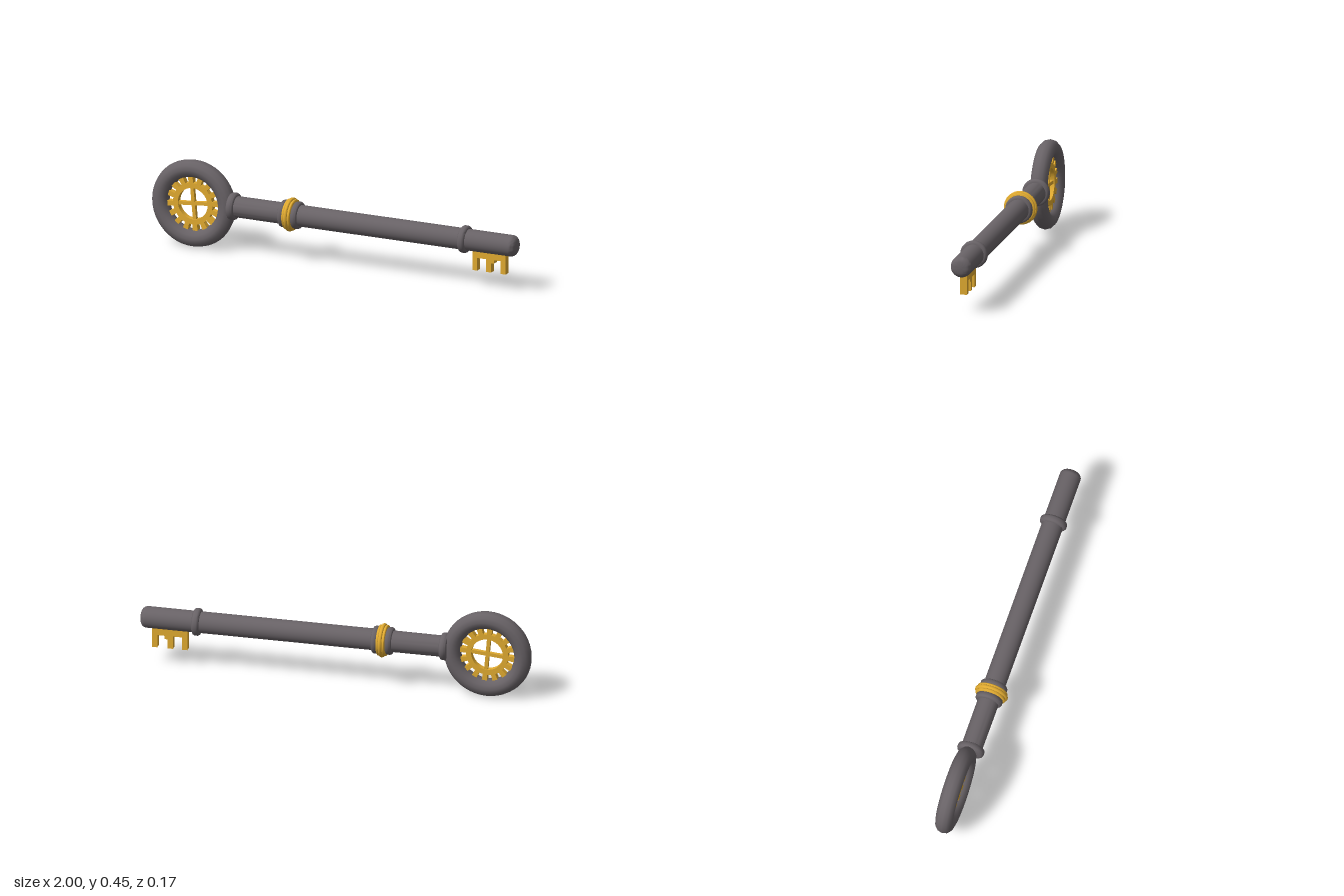
import * as THREE from 'three';
import { toCreasedNormals } from 'three/addons/utils/BufferGeometryUtils.js';

const IRON = new THREE.MeshStandardMaterial({ color: 0x686266 });
const GOLD = new THREE.MeshStandardMaterial({ color: 0xe0aa30 });

const SHAFT_Y = 0.242, SHAFT_Z = 0.002;
const RING = new THREE.Vector3(-0.775, 0.228, -0.002);

function add(parent, name, geometry, material, x = 0, y = 0, z = 0) {
  const mesh = new THREE.Mesh(geometry, material);
  mesh.name = name;
  mesh.position.set(x, y, z);
  parent.add(mesh);
  return mesh;
}

// Solid turned about the shaft axis; points are [radius, x]
function turned(points) {
  const profile = points.map(([r, x]) => new THREE.Vector2(r, x));
  return toCreasedNormals(new THREE.LatheGeometry(profile, 32).rotateZ(-Math.PI / 2), 0.7);
}

// Rounded collar centred on x
function collar(x, radius, width) {
  const h = width / 2, b = Math.min(h * 0.6, 0.012);
  return turned([[0.04, x - h], [radius - b, x - h], [radius - b * 0.3, x - h + b * 0.4], [radius, x - h + b],
    [radius, x + h - b], [radius - b * 0.3, x + h - b * 0.4], [radius - b, x + h], [0.04, x + h]]);
}

// Extruded plate centred on z = 0
function plate(shape, depth) {
  return new THREE.ExtrudeGeometry(shape, { depth, bevelEnabled: false, curveSegments: 32 }).translate(0, 0, -depth / 2);
}

function buildGear() {
  const gear = new THREE.Group();
  gear.name = 'bowGear';
  const teeth = 16, step = Math.PI * 2 / teeth, outline = [];
  for (let i = 0; i < teeth; i++) {
    for (const [f, r] of [[-0.27, 0.108], [-0.25, 0.14], [0.25, 0.14], [0.27, 0.108]]) {
      const a = (i + f) * step + 0.1;
      outline.push(new THREE.Vector2(r * Math.cos(a), r * Math.sin(a)));
    }
  }
  const shape = new THREE.Shape(outline);
  shape.holes.push(new THREE.Path().absarc(0, 0, 0.081, 0, Math.PI * 2, true));
  add(gear, 'gearRim', plate(shape, 0.03), GOLD);
  // Crossed spokes
  for (let i = 0; i < 2; i++) {
    add(gear, 'gearSpoke', new THREE.BoxGeometry(0.175, 0.018, 0.02), GOLD).rotation.z = 0.09 + i * Math.PI / 2;
  }
  gear.position.copy(RING);
  return gear;
}

export function createModel() {
  const key = new THREE.Group();
  key.name = 'key';

  // Bow: ring handle with a gear inside
  add(key, 'bowRing', new THREE.TorusGeometry(0.18, 0.0445, 12, 48), IRON, RING.x, RING.y, RING.z);
  key.add(buildGear());

  // Shaft with a rounded tip
  const shaft = new THREE.Group();
  shaft.name = 'shaftAssembly';
  shaft.position.set(0, SHAFT_Y, SHAFT_Z);
  key.add(shaft);
  const tip = [];
  for (let i = 0; i <= 6; i++) {
    const a = i / 6 * Math.PI / 2;
    tip.push([0.02 + 0.034 * Math.cos(a), 0.966 + 0.03 * Math.sin(a)]);
  }
  add(shaft, 'shaft', turned([[0, -0.57], [0.053, -0.57], [0.054, -0.2], ...tip, [0, 1]]), IRON);

  // Collars along the shaft
  for (const [x, r, w] of [[-0.555, 0.069, 0.038], [-0.275, 0.069, 0.034], [-0.205, 0.069, 0.034], [0.71, 0.069, 0.038]]) {
    add(shaft, 'collar', collar(x, r, w), IRON);
  }
  // Gold band of three rings
  for (const [x, r, w] of [[-0.255, 0.078, 0.014], [-0.24, 0.085, 0.018], [-0.225, 0.078, 0.014]]) {
    add(shaft, 'goldBand', collar(x, r, w), GOLD);
  }

  // Bit: bar with three teeth and stepped notches
  const bit = new THREE.Shape([
    [0.757, 0.21], [0.757, 0.092], [0.783, 0.092], [0.783, 0.158], [0.83, 0.158], [0.83, 0.092],
    [0.859, 0.092], [0.859, 0.14], [0.874, 0.14], [0.874, 0.158], [0.91, 0.158], [0.91, 0.092],
    [0.938, 0.092], [0.938, 0.21],
  ].map(([x, y]) => new THREE.Vector2(x, y)));
  add(key, 'bit', plate(bit, 0.035), GOLD, 0, 0, -0.001);

  return key;
}
